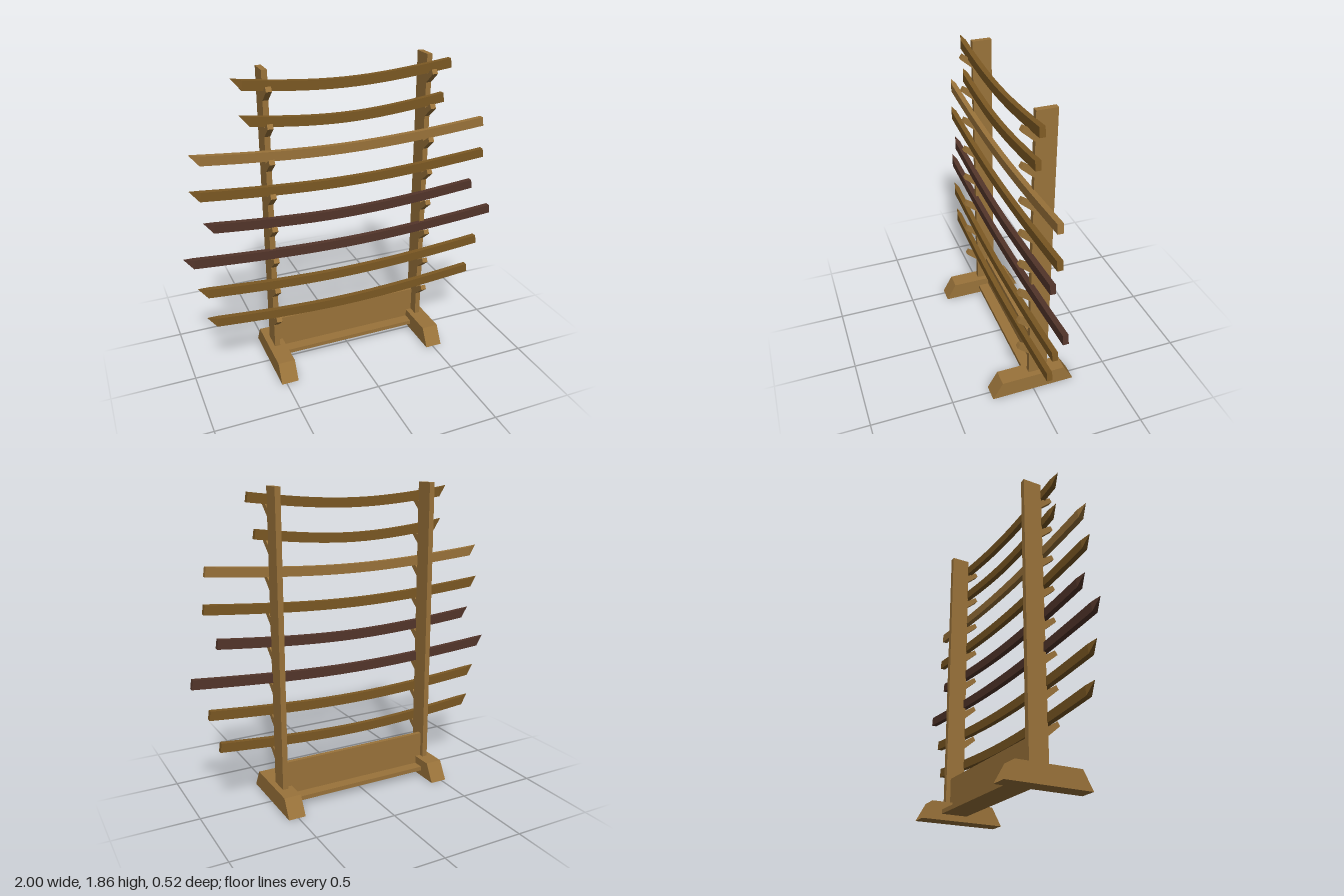
import * as THREE from 'three';

const mat = (name, color) => {
  const m = new THREE.MeshStandardMaterial({ color });
  m.name = name;
  return m;
};

export function createModel() {
  const oak = mat('oak', 0x9a733a);
  const brown = mat('brown wood', 0x7b5823);
  const dark = mat('dark wood', 0x53352a);

  const model = new THREE.Group();
  model.name = 'swordRack';

  const add = (name, geo, material, x = 0, y = 0, z = 0) => {
    const mesh = new THREE.Mesh(geo, material);
    mesh.name = name;
    mesh.position.set(x, y, z);
    model.add(mesh);
    return mesh;
  };

  // Box given by its limits on each axis
  const box = (name, material, x0, x1, y0, y1, z0, z1) =>
    add(name, new THREE.BoxGeometry(x1 - x0, y1 - y0, z1 - z0), material,
      (x0 + x1) / 2, (y0 + y1) / 2, (z0 + z1) / 2);

  // Side profile as [z, y] points, extruded along x and centred on x = 0
  const sideExtrude = (points, width) => {
    const shape = new THREE.Shape(points.map(([z, y]) => new THREE.Vector2(-z, y)));
    const geo = new THREE.ExtrudeGeometry(shape, { depth: width, bevelEnabled: false });
    geo.translate(0, 0, -width / 2);
    geo.rotateY(Math.PI / 2);
    return geo;
  };

  const middle = 0.015;
  const pegCount = 8;
  const pegStep = 0.2038;
  const footGeo = sideExtrude([[0.262, 0], [0.2, 0.11], [-0.2, 0.11], [-0.262, 0]], 0.104);
  const pegGeo = sideExtrude([[0.02, 0], [0.02, 0.05], [0.08, 0.09], [0.095, 0.065]], 0.033);

  // Feet, posts and the slanted pegs
  for (const [side, s] of [['left', 1], ['right', -1]]) {
    const x = middle + s * 0.492;
    add(side + 'Foot', footGeo, oak, x);
    box(side + 'Post', oak, x - 0.0165, x + 0.0165, 0.11, 1.86, -0.098, 0.02);
    for (let i = 0; i < pegCount; i++) {
      add(side + 'Peg' + (i + 1), pegGeo, oak, x, 0.268 + i * pegStep, 0);
    }
  }

  // Cross beam and the upright board on it
  box('crossBeam', oak, middle - 0.44, middle + 0.44, 0.036, 0.062, -0.138, 0.025);
  box('backBoard', oak, middle - 0.476, middle + 0.476, 0.062, 0.264, -0.07, -0.043);

  // Curved wooden sword: a segmented box bent upward, with its left end drawn to a point
  const bend = 0.8;
  const rise = (t) => 0.05 * (Math.hypot(t, bend) - bend) / (Math.hypot(1, bend) - bend);
  const swordGeometry = (x0, x1) => {
    const segments = 18;
    const height = 0.055;
    const point = 0.058;
    const geo = new THREE.BoxGeometry(segments, height, 0.032, segments, 1, 1).toNonIndexed();
    const p = geo.attributes.position;
    for (let i = 0; i < p.count; i++) {
      const k = Math.round(p.getX(i) + segments / 2);
      const top = p.getY(i) > 0;
      if (k === 0) {
        p.setXYZ(i, x0, 0.055, 0);
        continue;
      }
      const x = x0 + point + (x1 - x0 - point) * (k - 1) / (segments - 1);
      const t = (2 * x - x0 - x1) / (x1 - x0);
      p.setX(i, x + (top ? -0.004 : 0.004) * t);
      p.setY(i, rise(t) - (top ? 0 : height));
    }
    geo.computeVertexNormals();
    return geo;
  };

  // Each row: left end, right end, height of the top edge at mid-length, material, z
  const swords = [
    [-0.665, 0.635, 1.78, brown, 0.032],
    [-0.633, 0.598, 1.58, brown, 0.032],
    [-0.917, 0.886, 1.396, oak, 0.032],
    [-0.933, 0.904, 1.19, brown, 0.032],
    [-0.872, 0.838, 0.989, dark, 0.032],
    [-1.0, 0.996, 0.783, dark, 0.022],
    [-0.937, 0.904, 0.582, brown, 0.032],
    [-0.9, 0.85, 0.377, brown, 0.032],
  ];
  swords.forEach(([x0, x1, y, material, z], i) =>
    add('sword' + (i + 1), swordGeometry(x0, x1), material, 0, y, z));

  return model;
}
